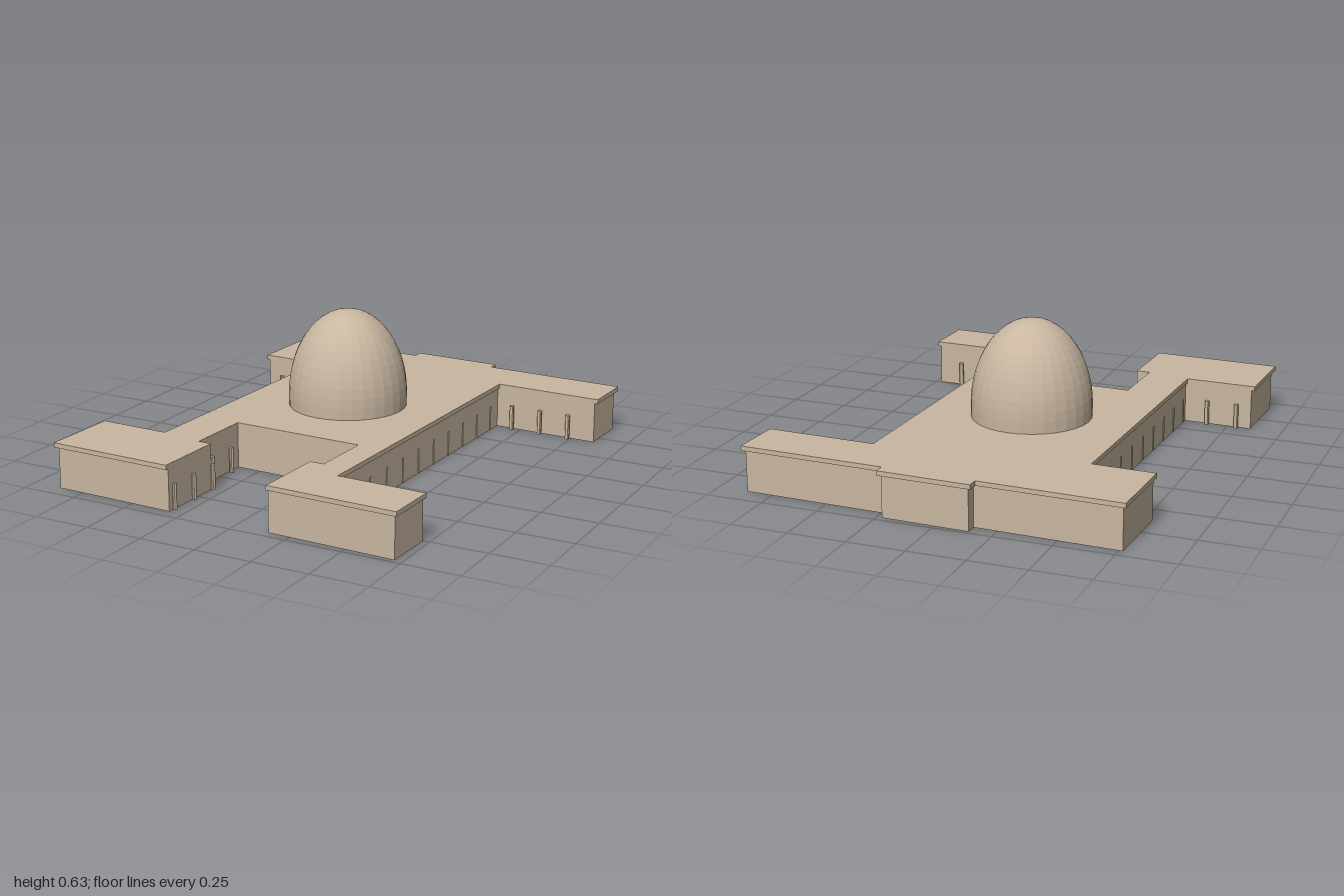
import * as THREE from 'three';

const material = new THREE.MeshStandardMaterial({ color: 0xc8b6a0, flatShading: true });
const ROOF_Y = 0.2, CORNICE = 0.02;

// The plan is rectilinear: walls alternate between constant x and constant z.
// Each entry is [roof edge position, inset of the wall beneath it].
const wallX = [
  [-0.81, 0.014], [-0.193, 0.014], [0.21, -0.014], [0.85, -0.014],
  [0.368, -0.008], [0.76, -0.014], [0.185, 0], [0.248, 0],
  [-0.345, 0], [-0.285, 0], [-0.851, 0.014], [-0.537, 0.008],
];
const wallZ = [
  [-0.946, 0.014], [-0.994, 0.014], [-0.947, 0.014], [-0.712, 0],
  [0.735, 0], [0.971, -0.014], [0.642, 0], [0.367, 0],
  [0.657, 0], [0.973, -0.014], [0.63, 0], [-0.592, 0],
];

// Slab following the plan, inset by a share of each wall's own amount
function planSlab(name, inset, y0, y1) {
  const at = ([edge, amount]) => edge + amount * inset;
  const points = [];
  wallX.forEach((x, i) => {
    const z = at(wallZ[i]);
    const next = wallX[(i + 1) % wallX.length];
    points.push(new THREE.Vector2(at(x), -z), new THREE.Vector2(at(next), -z));
  });
  const geo = new THREE.ExtrudeGeometry(new THREE.Shape(points), { depth: y1 - y0, bevelEnabled: false });
  geo.rotateX(-Math.PI / 2).translate(0, y0, 0);
  const mesh = new THREE.Mesh(geo, material);
  mesh.name = name;
  return mesh;
}

// Evenly spaced posts along a wall, from one end to the other
function postRow(name, count, [x0, z0], [x1, z1]) {
  const row = new THREE.Group();
  row.name = name;
  const geo = new THREE.CylinderGeometry(0.01, 0.01, 0.11, 10);
  for (let i = 0; i < count; i++) {
    const t = i / (count - 1);
    const post = new THREE.Mesh(geo, material);
    post.name = 'post';
    post.position.set(x0 + (x1 - x0) * t, 0.055, z0 + (z1 - z0) * t);
    row.add(post);
  }
  return row;
}

export function createModel() {
  const model = new THREE.Group();
  model.name = 'domedBuilding';

  // Whole building stands slightly turned on its site
  const building = new THREE.Group();
  building.name = 'building';
  building.rotation.y = -0.031;
  model.add(building);

  building.add(planSlab('walls', 1, 0, ROOF_Y - CORNICE));
  building.add(planSlab('roofSlab', 0, ROOF_Y - CORNICE, ROOF_Y));

  // Tall dome: short vertical drum, then half an ellipse
  const profile = [new THREE.Vector2(0.259, ROOF_Y)];
  for (let i = 0; i <= 14; i++) {
    const a = (i / 14) * Math.PI / 2;
    profile.push(new THREE.Vector2(i === 14 ? 0 : 0.26 * Math.cos(a), 0.25 + 0.376 * Math.sin(a)));
  }
  const dome = new THREE.Mesh(new THREE.LatheGeometry(profile, 32), material);
  dome.name = 'dome';
  dome.position.set(-0.084, 0, -0.117);
  building.add(dome);

  // Posts along the inner faces of the wings, the courtyard and the long walls
  building.add(
    postRow('backLeftPosts', 3, [0.439, -0.699], [0.714, -0.699]),
    postRow('backRightPosts', 2, [-0.724, -0.583], [-0.589, -0.583]),
    postRow('frontRightPosts', 2, [-0.772, 0.621], [-0.635, 0.621]),
    postRow('frontLeftPosts', 2, [0.498, 0.723], [0.633, 0.723]),
    postRow('courtRightInnerPosts', 2, [-0.334, 0.436], [-0.334, 0.576]),
    postRow('courtRightOuterPosts', 3, [-0.28, 0.654], [-0.281, 0.925]),
    postRow('courtLeftInnerPosts', 2, [0.239, 0.378], [0.239, 0.518]),
    postRow('courtLeftOuterPosts', 3, [0.21, 0.624], [0.177, 0.874]),
    postRow('leftWallPosts', 10, [0.353, -0.64], [0.353, 0.6]),
    postRow('rightWallPosts', 9, [-0.522, -0.5], [-0.522, 0.6]),
  );
  return model;
}
